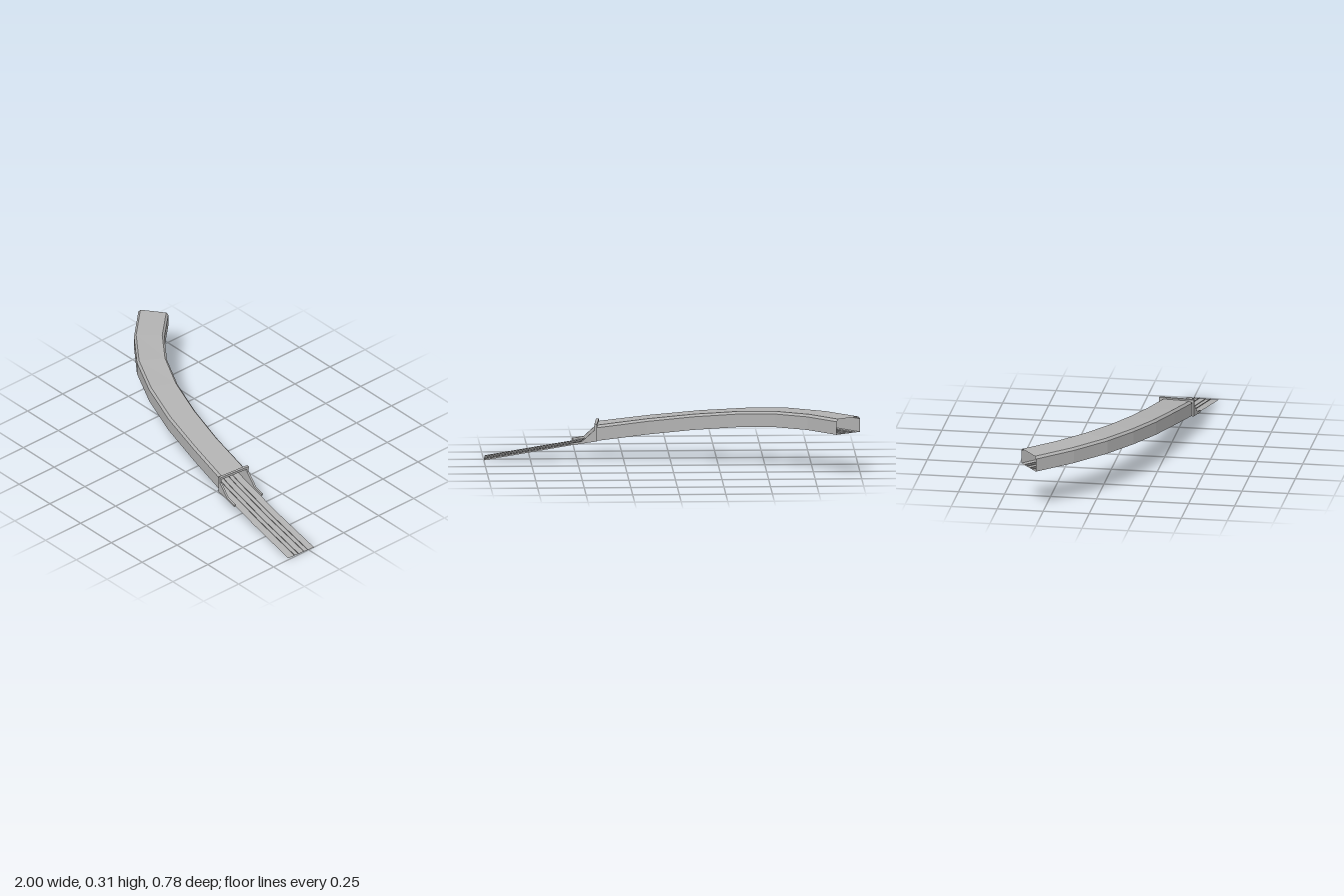
import * as THREE from 'three';

// Stations along the curve: back edge x, z; front edge x, z; floor height
const STATIONS = [
  [-0.87, -0.39, -1.0, -0.29, 0.222],
  [-0.72, -0.23, -0.83, -0.11, 0.224],
  [-0.55, -0.10, -0.635, 0.04, 0.22],
  [-0.35, 0.0, -0.415, 0.147, 0.205],
  [-0.12, 0.075, -0.165, 0.23, 0.18],
  [0.125, 0.13, 0.1, 0.287, 0.148],
  [0.40, 0.17, 0.385, 0.336, 0.108],
  [0.69, 0.195, 0.68, 0.365, 0.055],
  [1.0, 0.212, 0.988, 0.386, 0],
];
const TUNNEL = STATIONS.slice(0, 7);

// Point across a station: t = 0 at the back edge, 1 at the front edge
function at([bx, bz, fx, fz, y], t, h) {
  return [bx + (fx - bx) * t, y + h, bz + (fz - bz) * t];
}

// Flat-faced strip swept along stations between two profile points [t, height]
function strip(name, stations, a, b, material) {
  const pos = [];
  for (let i = 0; i < stations.length - 1; i++) {
    const p = at(stations[i], ...a), q = at(stations[i], ...b);
    const r = at(stations[i + 1], ...a), s = at(stations[i + 1], ...b);
    pos.push(...p, ...q, ...r, ...q, ...s, ...r);
  }
  const geo = new THREE.BufferGeometry();
  geo.setAttribute('position', new THREE.Float32BufferAttribute(pos, 3));
  geo.computeVertexNormals();
  const mesh = new THREE.Mesh(geo, material);
  mesh.name = name;
  return mesh;
}

export function createModel() {
  const model = new THREE.Group();
  model.name = 'curvedRailTunnel';
  const concrete = new THREE.MeshStandardMaterial({ color: 0xb2b2b2, side: THREE.DoubleSide, flatShading: true });
  concrete.name = 'concreteGrey';

  // Track bed, running on past the tunnel mouth
  model.add(strip('trackBed', STATIONS, [0, 0], [1, 0], concrete));

  // Four low rails forming two tracks
  for (const t of [0.245, 0.395, 0.605, 0.755]) {
    model.add(strip('rail', STATIONS, [t, 0.0045], [t, 0], concrete));
  }

  // Tunnel shell: walls, chamfers and roof, open at both ends
  const profile = [[0, 0], [0, 0.071], [0.07, 0.084], [0.93, 0.084], [1, 0.071], [1, 0]];
  const names = ['backWall', 'backChamfer', 'roof', 'frontChamfer', 'frontWall'];
  names.forEach((name, i) => model.add(strip(name, TUNNEL, profile[i], profile[i + 1], concrete)));

  // Portal at the tunnel mouth, aligned with the track
  const portal = new THREE.Group();
  portal.name = 'portal';
  portal.position.set(0.393, 0, 0.2535);
  portal.rotation.y = -0.09;

  const lintel = new THREE.Mesh(new THREE.BoxGeometry(0.015, 0.014, 0.192), concrete);
  lintel.name = 'lintel';
  lintel.position.set(0, 0.194, 0);
  portal.add(lintel);

  // Sloping wing walls on each side
  const outline = [[-0.007, 0.2], [0.007, 0.2], [0.007, 0.168], [0.075, 0.106],
    [0.136, 0.096], [0.136, 0.085], [-0.007, 0.108]];
  const wingShape = new THREE.Shape(outline.map(([x, y]) => new THREE.Vector2(x, y)));
  const wingGeo = new THREE.ExtrudeGeometry(wingShape, { depth: 0.011, bevelEnabled: false });
  for (const z of [0.085, -0.096]) {
    const wing = new THREE.Mesh(wingGeo, concrete);
    wing.name = 'wingWall';
    wing.position.z = z;
    portal.add(wing);
  }
  model.add(portal);
  return model;
}
